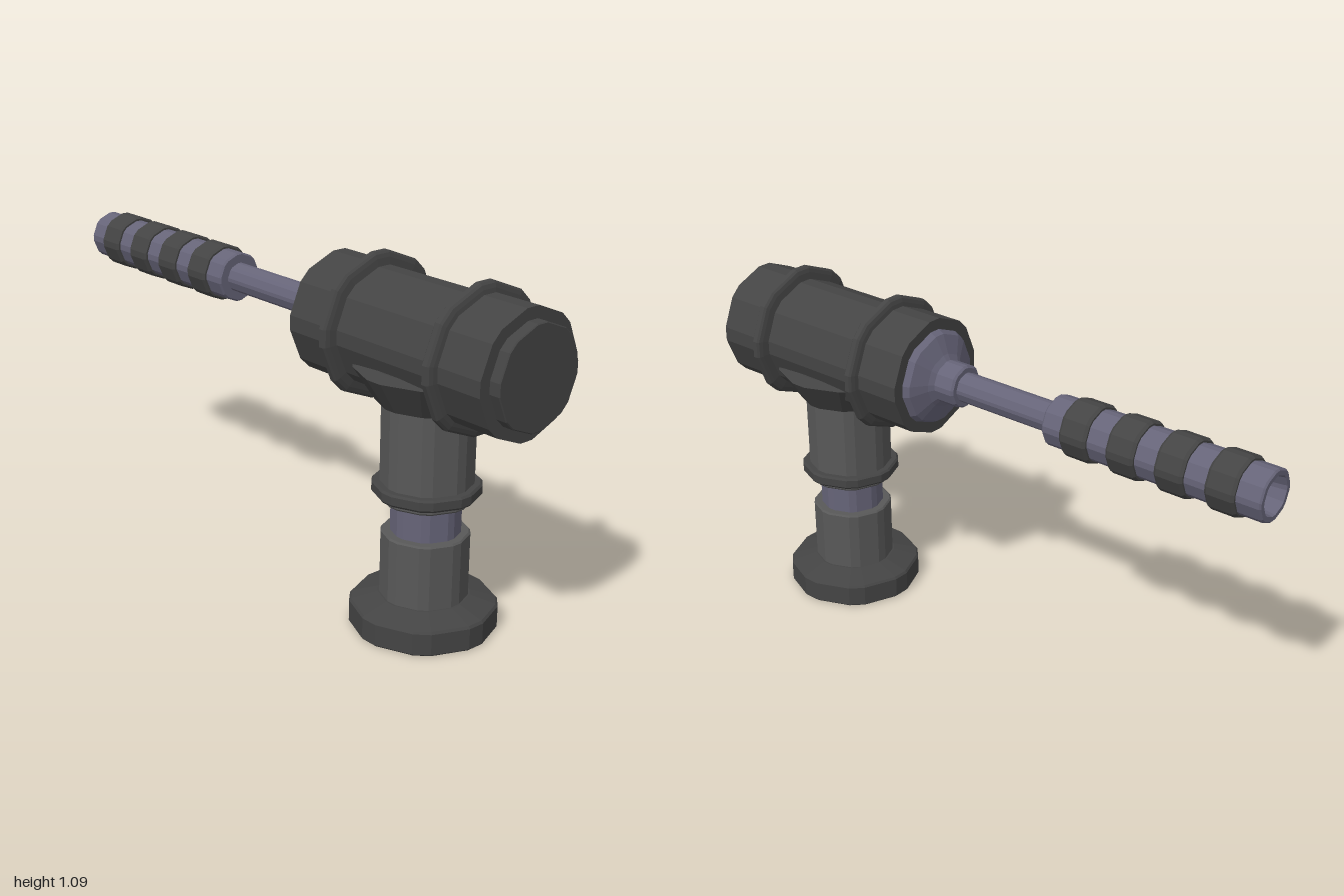
import * as THREE from 'three';

const material = (color) => new THREE.MeshStandardMaterial({ color, flatShading: true });

// Octagon with chamfered corners, lofted along y through [radius, y] points
function octLoft(profile) {
  const bevel = THREE.MathUtils.degToRad(7);
  const points = profile.map(([r, y]) => new THREE.Vector2(r, y));
  const geo = new THREE.LatheGeometry(points, 16);
  const pos = geo.attributes.position;
  for (let i = 0; i < pos.count; i++) {
    const column = Math.floor(i / points.length);
    const r = points[i % points.length].x / Math.cos(bevel);
    const angle = Math.floor(column / 2) * Math.PI / 4 + (column % 2 ? bevel : -bevel);
    pos.setX(i, r * Math.sin(angle));
    pos.setZ(i, r * Math.cos(angle));
  }
  const flat = geo.toNonIndexed();
  flat.computeVertexNormals();
  return flat;
}

export function createModel() {
  const model = new THREE.Group();
  model.name = 'hammerTool';
  const dark = material(0x444444);
  const grey = material(0x585858);
  const violet = material(0x666478);

  const add = (parent, name, mat, profile) => {
    const mesh = new THREE.Mesh(octLoft(profile), mat);
    mesh.name = name;
    parent.add(mesh);
    return mesh;
  };

  // Upright column
  const column = new THREE.Group();
  column.name = 'column';
  column.position.z = 0.6;
  model.add(column);
  add(column, 'foot', dark, [[0, 0.008], [0.11, 0.008], [0.12, 0], [0.213, 0], [0.218, 0.005],
    [0.218, 0.07], [0.212, 0.077], [0.135, 0.1], [0, 0.1]]);
  add(column, 'lowerColumn', grey, [[0.13, 0.09], [0.13, 0.295], [0.125, 0.3], [0, 0.3]]);
  add(column, 'neck', violet, [[0.103, 0.29], [0.103, 0.41]]);
  add(column, 'upperColumn', grey, [[0, 0.4], [0.132, 0.4], [0.136, 0.405], [0.136, 0.75]]);
  add(column, 'columnRing', dark, [[0.134, 0.413], [0.153, 0.418], [0.159, 0.425], [0.159, 0.45],
    [0.153, 0.456], [0.134, 0.456]]);
  add(column, 'saddle', dark, [[0.134, 0.7], [0.152, 0.7], [0.218, 0.8], [0.17, 0.81], [0, 0.81]]);

  // Everything on the horizontal axis; its local +y points to the front
  const axis = new THREE.Group();
  axis.name = 'horizontalAssembly';
  axis.rotation.x = Math.PI / 2;
  axis.position.y = 0.87;
  model.add(axis);

  // Barrel: thick ends, slimmer middle, raised rings, front cap
  add(axis, 'barrel', dark, [[0, 0.21], [0.187, 0.21], [0.187, 0.38], [0.178, 0.39],
    [0.178, 0.785], [0.187, 0.795], [0.187, 0.965], [0, 0.965]]);
  for (const z of [0.382, 0.792]) {
    add(axis, 'barrelRing', dark, [[0.175, z - 0.022], [0.2, z - 0.018], [0.212, z - 0.014],
      [0.218, z - 0.008], [0.218, z + 0.008], [0.212, z + 0.014], [0.2, z + 0.018], [0.175, z + 0.022]]);
  }
  add(axis, 'frontCap', dark, [[0.152, 0.96], [0.152, 0.997], [0.149, 1], [0, 1]]);

  // Rod socket and rod
  add(axis, 'rodSocket', violet, [[0, 0.083], [0.062, 0.083], [0.068, 0.09], [0.068, 0.155],
    [0.085, 0.166], [0.142, 0.19], [0.155, 0.215]]);
  add(axis, 'rod', violet, [[0.047, -0.28], [0.047, 0.1]]);

  // Handle with a hollow end
  add(axis, 'handle', violet, [[0, -0.9], [0.045, -0.9], [0.06, -1], [0.074, -1], [0.079, -0.995],
    [0.079, -0.272], [0.074, -0.266], [0, -0.266]]);
  for (let i = 0; i < 4; i++) {
    const z = -0.384 - i * 0.164;
    add(axis, 'gripBand', dark, [[0.077, z - 0.047], [0.085, z - 0.047], [0.091, z - 0.038],
      [0.091, z + 0.038], [0.085, z + 0.047], [0.077, z + 0.047]]);
  }
  return model;
}
